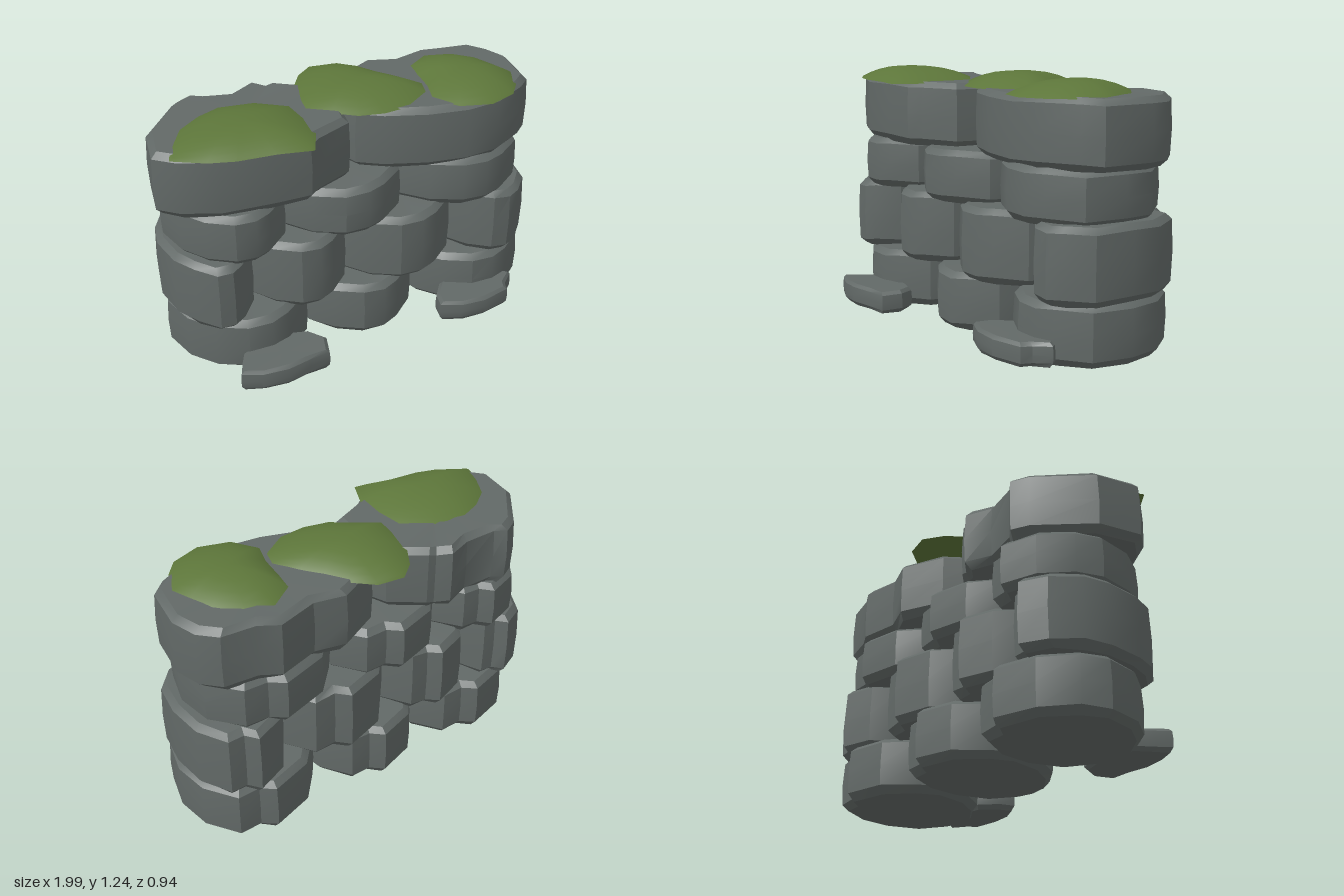
import * as THREE from 'three';
import { toCreasedNormals } from 'three/addons/utils/BufferGeometryUtils.js';

const stoneMat = new THREE.MeshStandardMaterial({ color: 0x626967 });
const mossMat = new THREE.MeshStandardMaterial({ color: 0x5d763a, side: THREE.DoubleSide });

function seeded(seed) {
  let s = seed * 7919 + 13;
  return () => ((s = (s * 16807) % 2147483647) / 2147483647) * 2 - 1;
}

// Skin a stack of rings (each an array of [x, y, z]) and close both ends.
function loft(rings, crease) {
  const n = rings[0].length, pos = rings.flat(2), idx = [];
  for (let r = 0; r < rings.length - 1; r++) {
    for (let i = 0; i < n; i++) {
      const j = (i + 1) % n, a = r * n + i, b = r * n + j;
      idx.push(a, b, b + n, a, b + n, a + n);
    }
  }
  const last = rings.length - 1;
  for (const r of [0, last]) {
    const c = pos.length / 3;
    for (let k = 0; k < 3; k++) pos.push(rings[r].reduce((t, p) => t + p[k], 0) / n);
    for (let i = 0; i < n; i++) {
      const a = r * n + i, b = r * n + (i + 1) % n;
      idx.push(c, ...(r === last ? [a, b] : [b, a]));
    }
  }
  const g = new THREE.BufferGeometry();
  g.setAttribute('position', new THREE.Float32BufferAttribute(pos, 3));
  g.setIndex(idx);
  return toCreasedNormals(g, crease);
}

function middle(outline) {
  return [0, 1].map((k) => outline.reduce((t, p) => t + p[k], 0) / outline.length);
}

// Pull an outline of [x, z] points towards its middle by a fixed distance.
function inset(outline, d) {
  const [cx, cz] = middle(outline);
  return outline.map(([x, z]) => {
    const l = Math.hypot(x - cx, z - cz), k = (l - d) / l;
    return [cx + (x - cx) * k, cz + (z - cz) * k];
  });
}

// Stone block: outline swept upwards with worn top and bottom edges.
function stone(name, outline, y0, y1, seed, bevel = 0.035) {
  const rnd = seeded(seed);
  const wob = outline.map(() => rnd() * bevel * 0.2);
  const ring = (d, y, w) => inset(outline, d).map(([x, z], i) => [x, y + wob[i] * w, z]);
  const mesh = new THREE.Mesh(loft([
    ring(bevel * 1.1, y0, 0),
    ring(bevel * 0.15, y0 + bevel, 1),
    ring(0, (y0 + y1) / 2, 0),
    ring(bevel * 0.2, y1 - bevel * 0.8, 1),
    ring(bevel * 1.1, y1, 0.8),
  ], 0.48), stoneMat);
  mesh.name = name;
  return mesh;
}

// Block outline on a -1..1 square: bulged front, right corner facet and end,
// back with one raised corner, then the left end with its narrow front facet.
const BLOCK = [
  [-0.88, 0.4], [-0.6, 0.75], [-0.2, 0.98], [0.15, 1], [0.42, 0.92], [0.83, 0.62], [0.99, 0.1], [0.92, -0.4],
  [0.62, -0.83], [0.3, -0.84], [0.12, -1], [-0.5, -0.83], [-0.86, -0.45], [-1, -0.1],
];

// Courses: bottom, top, and the left and right end of each stone.
const COURSES = [
  [0, 0.285, [[-0.95, -0.25], [-0.31, 0.33], [0.3, 0.99]]],
  [0.275, 0.63, [[-0.97, -0.55], [-0.61, -0.05], [-0.12, 0.55], [0.48, 0.985]]],
  [0.615, 0.87, [[-0.935, -0.36], [-0.43, 0.26], [0.19, 0.935]]],
];

// Large capstones.
const CAPS = [
  [[-1, 0.06], [-0.92, 0.15], [-0.75, 0.23], [-0.5, 0.265], [-0.32, 0.265], [-0.26, 0.22], [-0.07, 0.14],
    [-0.02, -0.1], [-0.07, -0.26], [-0.22, -0.38], [-0.26, -0.385], [-0.32, -0.435], [-0.46, -0.38],
    [-0.62, -0.395], [-0.675, -0.43], [-0.76, -0.385], [-0.96, -0.15]],
  [[-0.01, 0.07], [0.1, 0.15], [0.3, 0.23], [0.5, 0.265], [0.67, 0.265], [0.86, 0.17], [0.94, 0.1],
    [0.985, -0.14], [0.95, -0.27], [0.88, -0.36], [0.72, -0.385], [0.62, -0.43], [0.42, -0.38], [0.27, -0.42],
    [0.05, -0.31], [-0.07, -0.1]],
];

// Low slabs lying against the foot of the wall.
const SLABS = [
  [[-0.77, 0.4], [-0.68, 0.44], [-0.55, 0.465], [-0.43, 0.44], [-0.32, 0.43], [-0.29, 0.33],
    [-0.34, 0.24], [-0.5, 0.19], [-0.68, 0.22], [-0.73, 0.31]],
  [[0.34, 0.35], [0.44, 0.4], [0.57, 0.415], [0.73, 0.38], [0.75, 0.33], [0.82, 0.27],
    [0.77, 0.2], [0.6, 0.15], [0.43, 0.18], [0.36, 0.27]],
];

// Moss patches.
const MOSS = [
  [[-0.94, 0.15], [-0.8, 0.24], [-0.68, 0.28], [-0.5, 0.3], [-0.34, 0.34], [-0.27, 0.2], [-0.25, 0.05],
    [-0.26, -0.1], [-0.4, -0.21], [-0.58, -0.24], [-0.7, -0.19], [-0.82, -0.1], [-0.9, 0.04]],
  [[-0.23, -0.03], [-0.12, 0.05], [-0.02, 0.13], [0.1, 0.16], [0.25, 0.15], [0.39, 0.06], [0.42, -0.03],
    [0.35, -0.15], [0.28, -0.25], [0.22, -0.36], [0.13, -0.45], [0, -0.47], [-0.09, -0.4], [-0.17, -0.28], [-0.21, -0.14]],
  [[0.37, 0.12], [0.45, 0.25], [0.6, 0.3], [0.75, 0.25], [0.82, 0.17], [0.88, 0.04], [0.85, -0.06],
    [0.81, -0.18], [0.71, -0.29], [0.58, -0.33], [0.45, -0.25], [0.43, -0.14], [0.41, 0]],
];

// Thin dome over an outline.
function mossPatch(outline) {
  const [cx, cz] = middle(outline);
  const rings = [1, 0.95, 0.85, 0.68, 0.46, 0.22].map((k) => outline.map(([x, z]) =>
    [cx + (x - cx) * k, 1.17 + 0.07 * (1 - k ** 2.4), cz + (z - cz) * k]));
  const mesh = new THREE.Mesh(loft(rings, 0.8), mossMat);
  mesh.name = 'mossPatch';
  return mesh;
}

export function createModel() {
  const wall = new THREE.Group();
  wall.name = 'stoneWall';
  let seed = 1;
  COURSES.forEach(([y0, y1, spans], c) => {
    const course = new THREE.Group();
    course.name = 'course' + (c + 1);
    for (const [x0, x1] of spans) {
      const outline = BLOCK.map(([x, z]) => [(x0 + x1) / 2 + x * (x1 - x0) / 2, -0.08 + z * 0.36]);
      course.add(stone('wallStone', outline, y0, y1, ++seed));
    }
    wall.add(course);
  });
  CAPS.forEach((o, i) => wall.add(stone('capstone', o, 0.86, 1.178, 20 + i)));
  SLABS.forEach((o, i) => wall.add(stone('footSlab', o, 0.008, 0.12, 30 + i, 0.02)));
  MOSS.forEach((o) => wall.add(mossPatch(o)));
  return wall;
}
